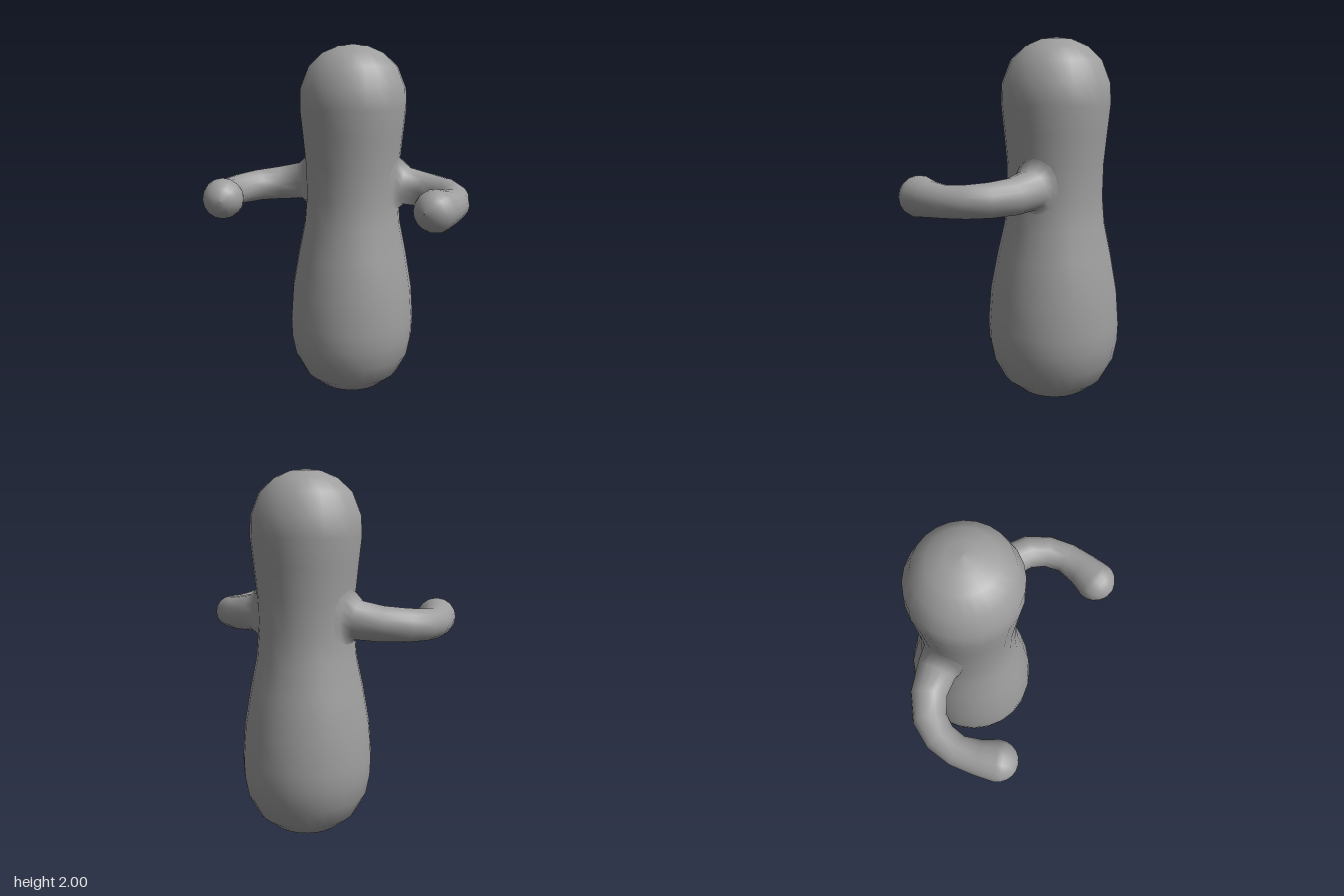
import * as THREE from 'three';

const material = new THREE.MeshStandardMaterial({ color: 0x9e9e9e });
const { lerp, smoothstep } = THREE.MathUtils;
const AXIS_Z = -0.118;

// Rounded pear-like body: radius and height pairs, bottom to top
function makeBody() {
  const profile = [
    [0, 0], [0.1, 0.004], [0.19, 0.035], [0.275, 0.105], [0.335, 0.22], [0.356, 0.33],
    [0.36, 0.43], [0.347, 0.62], [0.313, 0.82], [0.276, 1.0], [0.264, 1.15], [0.268, 1.33],
    [0.286, 1.5], [0.302, 1.65], [0.298, 1.76], [0.25, 1.88], [0.172, 1.953], [0.085, 1.99], [0, 2],
  ].map(([r, y]) => new THREE.Vector2(r, y));
  const geometry = new THREE.LatheGeometry(profile, 24);
  // The belly is slightly deeper than wide, and the head sits slightly further back
  const pos = geometry.attributes.position;
  for (let i = 0; i < pos.count; i++) {
    const t = smoothstep(pos.getY(i), 0.4, 1.7);
    pos.setZ(i, pos.getZ(i) * lerp(1.04, 0.98, t) + lerp(-0.111, -0.122, t));
  }
  const mesh = new THREE.Mesh(geometry, material);
  mesh.name = 'body';
  return mesh;
}

// Arm: rings along a curved path, flared into the body at the shoulder, domed at the hand
function makeArm(side, name) {
  const stations = [ // x, y, z, half height, half width
    [0.2, 1.23, -0.13, 0.185, 0.125], [0.265, 1.23, -0.13, 0.15, 0.118], [0.315, 1.223, -0.13, 0.106, 0.108],
    [0.44, 1.208, -0.105, 0.096, 0.096], [0.55, 1.2, -0.035, 0.09, 0.09], [0.608, 1.193, 0.06, 0.086, 0.086],
    [0.626, 1.187, 0.17, 0.084, 0.084], [0.605, 1.187, 0.28, 0.094, 0.094], [0.573, 1.19, 0.373, 0.11, 0.11],
  ];
  const path = new THREE.CatmullRomCurve3(stations.map(([x, y, z]) => new THREE.Vector3(side * x, y, z)));
  const sides = 16, domeSteps = 5;

  const rings = stations.map(([, , , height, width], i) => {
    const t = i / (stations.length - 1);
    return { center: path.getPoint(t), tangent: path.getTangent(t), height, width };
  });
  const end = rings[rings.length - 1];
  for (let i = 1; i <= domeSteps; i++) {
    const a = (i / domeSteps) * Math.PI / 2;
    const radius = Math.max(end.height * Math.cos(a), 0.0005);
    rings.push({
      center: end.center.clone().addScaledVector(end.tangent, end.height * Math.sin(a)),
      tangent: end.tangent, height: radius, width: radius,
    });
  }

  const positions = [], index = [];
  const up = new THREE.Vector3(0, 1, 0);
  rings.forEach(({ center, tangent, height, width }, i) => {
    const across = new THREE.Vector3().crossVectors(tangent, up).normalize();
    const rise = new THREE.Vector3().crossVectors(across, tangent).normalize();
    for (let j = 0; j < sides; j++) {
      const a = (j / sides) * Math.PI * 2;
      const p = center.clone()
        .addScaledVector(across, width * Math.cos(a))
        .addScaledVector(rise, height * Math.sin(a));
      positions.push(p.x, p.y, p.z);
      if (i === rings.length - 1) continue;
      const p0 = i * sides + j, p1 = i * sides + (j + 1) % sides;
      index.push(p0, p0 + sides, p1, p1, p0 + sides, p1 + sides);
    }
  });
  const geometry = new THREE.BufferGeometry();
  geometry.setAttribute('position', new THREE.Float32BufferAttribute(positions, 3));
  geometry.setIndex(index);
  geometry.computeVertexNormals();

  // Blend the shading into the body around the shoulder
  const { position, normal } = geometry.attributes;
  for (let i = 0; i < position.count; i++) {
    const out = new THREE.Vector3(position.getX(i), 0, position.getZ(i) - AXIS_Z);
    const weight = smoothstep(out.length(), 0.26, 0.36);
    const n = out.normalize().lerp(new THREE.Vector3().fromBufferAttribute(normal, i), weight).normalize();
    normal.setXYZ(i, n.x, n.y, n.z);
  }
  const mesh = new THREE.Mesh(geometry, material);
  mesh.name = name;
  return mesh;
}

export function createModel() {
  const group = new THREE.Group();
  group.name = 'figure';
  group.add(makeBody(), makeArm(1, 'leftArm'), makeArm(-1, 'rightArm'));
  return group;
}
